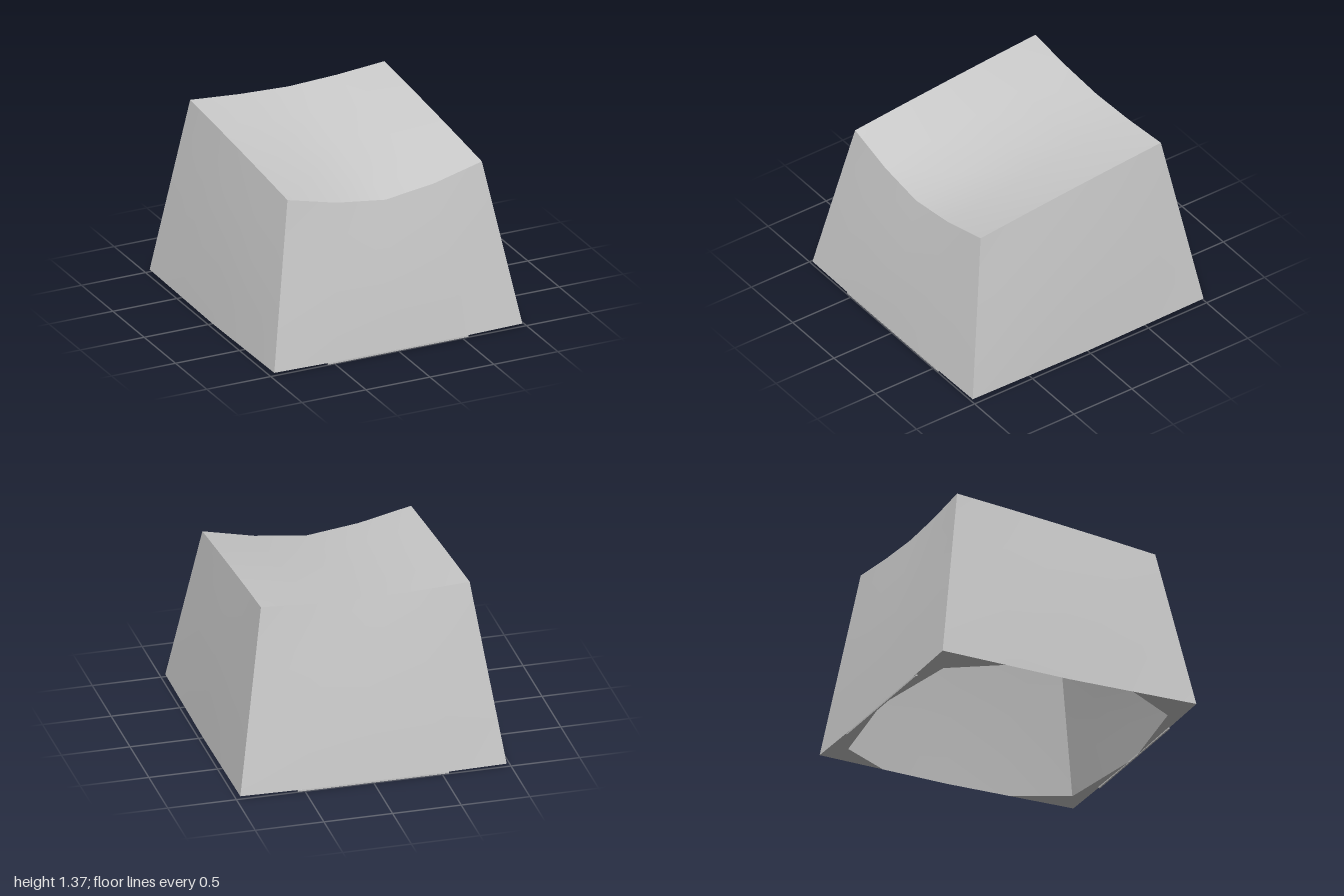
import * as THREE from 'three';

const material = new THREE.MeshStandardMaterial({ color: 0xcccccc, side: THREE.DoubleSide });
const lerp = THREE.MathUtils.lerp;

// Smooth patch over u, v in [-1, 1]; its normal is along du x dv
function patch(name, cols, rows, point) {
  const positions = [], index = [];
  for (let j = 0; j <= rows; j++)
    for (let i = 0; i <= cols; i++)
      positions.push(...point((2 * i) / cols - 1, (2 * j) / rows - 1).toArray());
  for (let j = 0; j < rows; j++)
    for (let i = 0; i < cols; i++) {
      const a = j * (cols + 1) + i, b = a + 1, c = a + cols + 1, d = c + 1;
      index.push(a, b, d, a, d, c);
    }
  return mesh(name, positions, index);
}

function mesh(name, positions, index) {
  const geometry = new THREE.BufferGeometry();
  geometry.setAttribute('position', new THREE.Float32BufferAttribute(positions, 3));
  geometry.setIndex(index);
  geometry.computeVertexNormals();
  const m = new THREE.Mesh(geometry, material);
  m.name = name;
  return m;
}

// Dished, forward-sloping top: s runs left to right, t runs back to front
function topPoint(s, t) {
  const f = (t + 1) / 2;
  const dip = lerp(0.04, 0.14, f) * (1 - Math.abs(s) ** 1.5);
  return new THREE.Vector3(
    0.76 * s,
    lerp(1.37, 1.22, f) - dip + 0.006 * (1 - t * t),
    0.777 * t + 0.014 * (1 - s * s)
  );
}

// Lower edge, slightly lower at the middle of each side
function basePoint(s, t) {
  return new THREE.Vector3(0.97 * s, 0.005 + 0.015 * Math.min(Math.abs(s), Math.abs(t)), 0.995 * t);
}

export function createModel() {
  const group = new THREE.Group();
  group.name = 'keycap';

  group.add(patch('dishedTop', 4, 4, (u, v) => topPoint(u, -v)));

  // Four tapered walls with a slight outward bulge
  const sides = {
    frontWall: (u) => [u, 1],
    leftWall: (u) => [1, -u],
    backWall: (u) => [-u, -1],
    rightWall: (u) => [-1, u],
  };
  for (const [name, edge] of Object.entries(sides)) {
    const [nx, nz] = edge(0);
    group.add(patch(name, 4, 4, (u, v) => {
      const [s, t] = edge(u);
      const bulge = 0.012 * (1 - u * u) * (1 - v * v);
      return basePoint(s, t)
        .lerp(topPoint(s, t), (v + 1) / 2)
        .add(new THREE.Vector3(nx * bulge, 0, nz * bulge));
    }));
  }

  // Underside flanges that fill the corners of the open base
  for (const sx of [1, -1])
    for (const sz of [1, -1]) {
      const positions = [
        basePoint(sx, sz),
        basePoint(0, sz),
        new THREE.Vector3(0.75 * sx, 0, 0.88 * sz),
        basePoint(sx, 0.5 * sz),
      ].flatMap((p) => p.toArray());
      const index = sx * sz > 0 ? [0, 1, 2, 0, 2, 3] : [0, 2, 1, 0, 3, 2];
      group.add(mesh('cornerFlange', positions, index));
    }

  // Thin lip along the lower edge
  for (const sz of [1, -1]) {
    const lip = new THREE.Mesh(new THREE.BoxGeometry(1.1, 0.012, 0.01), material);
    lip.name = 'baseLip';
    lip.position.set(0, 0.006, 0.99 * sz);
    group.add(lip);
  }
  return group;
}
